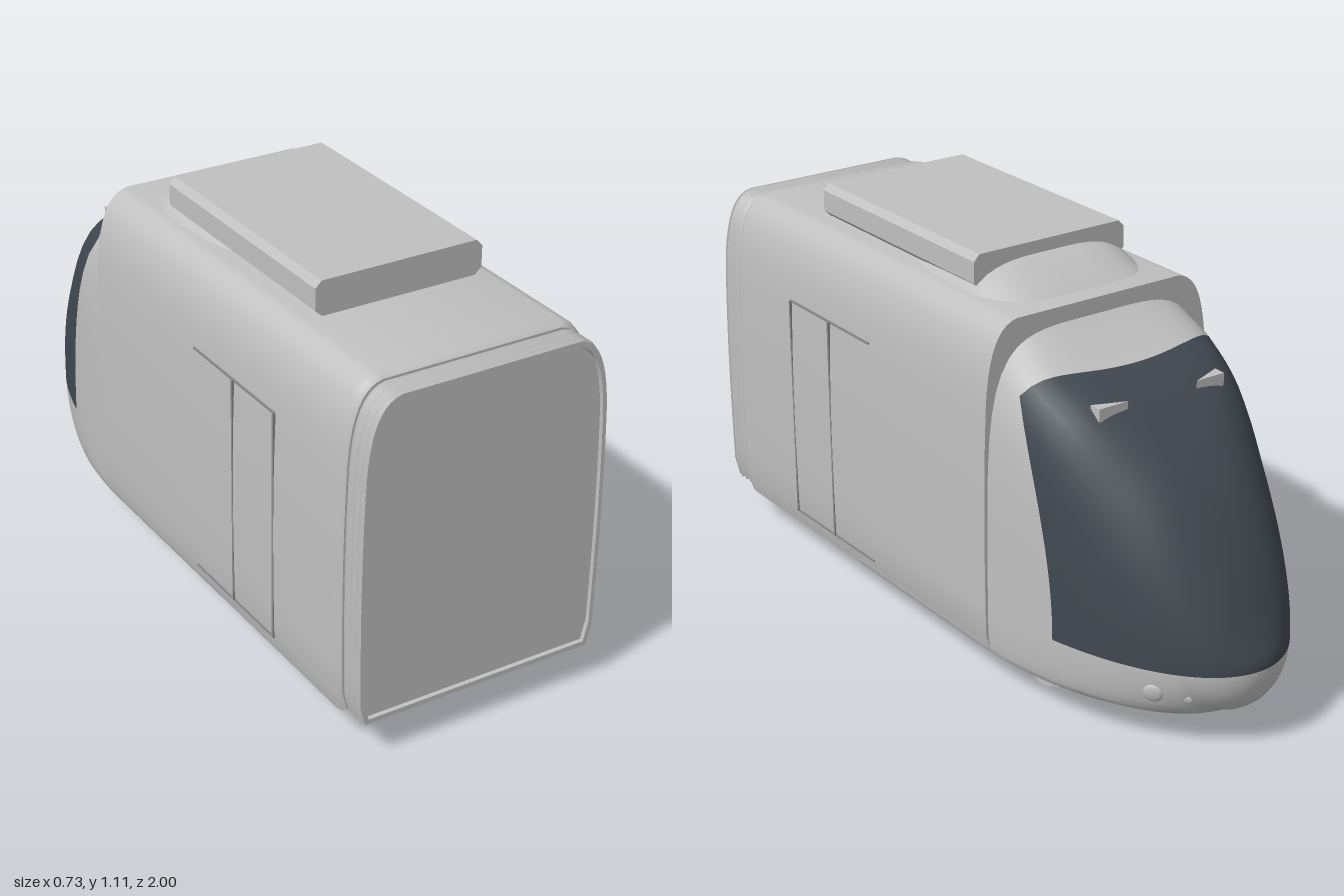
import * as THREE from 'three';
import { toCreasedNormals } from 'three/addons/utils/BufferGeometryUtils.js';

const shell = new THREE.MeshStandardMaterial({ color: 0xc0c0c0 });
shell.name = 'silver grey shell';
const glass = new THREE.MeshStandardMaterial({ color: 0x404850 });
glass.name = 'dark windscreen';
const seam = new THREE.MeshStandardMaterial({ color: 0x8c8c8c });
seam.name = 'seam grey';

// Smooth interpolation through [key, value] pairs
function smooth(table, k) {
  let i = 0;
  while (i < table.length - 2 && k > table[i + 1][0]) i++;
  const slope = (a, b) => (b[1] - a[1]) / (b[0] - a[0]);
  const at = j => table[Math.min(Math.max(j, 0), table.length - 1)];
  const p = at(i), q = at(i + 1), h = q[0] - p[0], u = (k - p[0]) / h;
  const m0 = i === 0 ? slope(p, q) : slope(at(i - 1), q);
  const m1 = i + 2 >= table.length ? slope(p, q) : slope(p, at(i + 2));
  const u2 = u * u, u3 = u2 * u;
  return (2 * u3 - 3 * u2 + 1) * p[1] + (u3 - 2 * u2 + u) * h * m0
    + (3 * u2 - 2 * u3) * q[1] + (u3 - u2) * h * m1;
}

// Nose roof line keyed by sqrt(z + 1), and squareness of the section keyed by z
const roofLine = [[0, 0.23], [0.173, 0.31], [0.316, 0.46], [0.48, 0.66], [0.648, 0.825], [0.75, 0.9],
  [0.8185, 0.965], [0.854, 1.01], [0.894, 1.045], [0.938, 1.075], [1.05, 1.06], [1.14, 1.0]];
const squareness = [[-1, 2.2], [-0.7, 3.2], [-0.45, 6], [-0.33, 5], [-0.2, 4], [0.3, 4]];
const BELT = 0.23;
const arc = s => Math.sqrt(Math.max(0, 1 - Math.max(0, s) ** 2));

function noseUpper(z, a) {
  const top = smooth(roofLine, Math.sqrt(Math.max(0, z + 1))), n = smooth(squareness, z);
  const c = Math.cos(a), s = Math.sin(a);
  const r = (Math.abs(c) ** n + Math.abs(s) ** n) ** (-1 / n);
  return [0.355 * arc((-0.28 - z) / 0.72) * r * c, BELT + (top - BELT) * r * s, z];
}

function noseLower(z, a, side) {
  const w = 0.355 * arc((-0.28 - z) / 0.72), wb = 0.345 * arc((-0.28 - z) / 0.63);
  const depth = 0.14 * arc((-0.905 - z) / 0.095);
  return [side * (wb + (w - wb) * Math.cos(a)), BELT - depth * Math.sin(a), z];
}

function buildGeometry(pos, light, dark = []) {
  const g = new THREE.BufferGeometry();
  g.setAttribute('position', new THREE.Float32BufferAttribute(pos, 3));
  g.setIndex([...light, ...dark]);
  if (dark.length) {
    g.addGroup(0, light.length, 0);
    g.addGroup(light.length, dark.length, 1);
  }
  return toCreasedNormals(g, 0.6);
}

// Nose: columns run forward along z, each changing colour at the windscreen edge
function noseGeometry() {
  const UP = 48, LOW = 6, NA = 24, NB = 32, cols = [];
  for (let k = 0; k <= UP; k++) {
    const a = k * Math.PI / UP, t = Math.abs(Math.tan(a));
    const edge = t < 1 ? -0.57 + 0.16 * t * t : -0.48 + 0.07 / (t * t);
    cols.push({ edge, at: z => noseUpper(z, a) });
  }
  const low = (k, side) => cols.push({ edge: -0.57, at: z => noseLower(z, k / LOW * Math.PI / 2, side) });
  for (let k = 1; k <= LOW; k++) low(k, -1);
  for (let k = LOW; k >= 1; k--) low(k, 1);
  const pos = [], light = [], dark = [], n = cols.length;
  for (let i = 0; i <= NA + NB; i++) {
    for (const { edge, at } of cols) {
      const z = i <= NA ? 0.3 + (edge - 0.3) * i / NA : -1 + (edge + 1) * (1 - (i - NA) / NB) ** 2;
      pos.push(...at(z));
    }
  }
  for (let i = 0; i < NA + NB; i++) {
    for (let j = 0; j < n; j++) {
      const a = i * n + j, b = i * n + (j + 1) % n;
      (i >= NA && j < UP ? dark : light).push(a, a + n, b, b, a + n, b + n);
    }
  }
  return buildGeometry(pos, light, dark);
}

// Carriage cross-section, counter-clockwise seen from +z
function carriageSection() {
  const s = new THREE.Shape();
  s.moveTo(-0.345, 0.09);
  s.lineTo(0.345, 0.09);
  s.lineTo(0.36, 0.15);
  s.bezierCurveTo(0.365, 0.4, 0.365, 0.6, 0.356, 0.8);
  s.bezierCurveTo(0.347, 0.93, 0.32, 1.0, 0.26, 1.01);
  s.lineTo(-0.26, 1.01);
  s.bezierCurveTo(-0.32, 1.0, -0.347, 0.93, -0.356, 0.8);
  s.bezierCurveTo(-0.365, 0.6, -0.365, 0.4, -0.36, 0.15);
  const pts = s.getPoints(10);
  if (pts[0].distanceTo(pts[pts.length - 1]) < 1e-6) pts.pop();
  return pts;
}

// Loft of the section through [z, scale] rings, closed at both ends
function loft(rings) {
  const sec = carriageSection(), n = sec.length, pos = [], idx = [], MID = 0.55;
  for (const [z, s] of rings) for (const p of sec) pos.push(p.x * s, MID + (p.y - MID) * s, z);
  const first = rings.length * n, last = first + 1, end = (rings.length - 1) * n;
  pos.push(0, MID, rings[0][0], 0, MID, rings[rings.length - 1][0]);
  for (let j = 0; j < n; j++) {
    const k = (j + 1) % n;
    for (let i = 0; i < end; i += n) idx.push(i + j, i + k, i + n + j, i + k, i + n + k, i + n + j);
    idx.push(first, k, j, last, end + j, end + k);
  }
  return buildGeometry(pos, idx);
}

export function createModel() {
  const model = new THREE.Group();
  model.name = 'trainCar';
  const add = (name, geometry, material, x = 0, y = 0, z = 0) => {
    const m = new THREE.Mesh(geometry, material);
    m.name = name;
    m.position.set(x, y, z);
    model.add(m);
    return m;
  };

  add('carriageBody', loft([[-0.33, 1], [0.89, 1], [0.91, 0.992], [0.92, 0.975]]), shell);
  add('noseAndWindscreen', noseGeometry(), [shell, glass]);

  // Folded gangway with a slightly recessed end panel
  const folds = [[0.915, 0.955]];
  for (let i = 0; i < 3; i++) folds.push([0.935 + i * 0.025, 0.978], [0.947 + i * 0.025, 0.957]);
  folds.push([1, 0.97], [1, 0.94], [0.99, 0.935]);
  add('gangwayBellows', loft(folds), shell);

  // Roof unit with chamfered long edges
  const r = new THREE.Shape();
  [[-0.222, 1.015], [0.222, 1.015], [0.242, 1.033], [0.242, 1.092], [0.225, 1.11],
    [-0.225, 1.11], [-0.242, 1.092], [-0.242, 1.033]].forEach(([x, y], i) => i ? r.lineTo(x, y) : r.moveTo(x, y));
  add('roofUnit', new THREE.ExtrudeGeometry(r, { depth: 0.725, bevelEnabled: false }), shell, 0, 0, -0.12);

  for (const side of [1, -1]) {
    const tag = side > 0 ? 'left' : 'right';

    // Door seams
    for (const z of [0.61, 0.41]) {
      add(tag + 'DoorSeam', new THREE.BoxGeometry(0.009, 0.65, 0.006), seam, side * 0.3595, 0.465, z);
    }
    for (const y of [0.14, 0.79]) {
      add(tag + 'DoorEdge', new THREE.BoxGeometry(0.009, 0.006, 0.4), seam, side * 0.356, y, 0.41);
    }

    // Head lamps sitting flush on the lower nose
    const normal = new THREE.Vector3(side * 0.82, -0.2, -0.54).normalize();
    for (const [z, y, radius] of [[-0.84, 0.165, 0.026], [-0.905, 0.155, 0.011]]) {
      const p = noseLower(z, Math.asin((BELT - y) / 0.14), side);
      const lamp = add(tag + 'Lamp', new THREE.SphereGeometry(radius, 20, 12), shell, ...p);
      lamp.scale.y = 0.35;
      lamp.quaternion.setFromUnitVectors(new THREE.Vector3(0, 1, 0), normal);
    }

    // Small triangular fin above the windscreen
    const f = new THREE.Shape();
    f.moveTo(side * 0.2, 0.59);
    f.lineTo(side * 0.11, 0.59);
    f.lineTo(side * 0.2, 0.555);
    const fin = add(tag + 'WindscreenFin',
      new THREE.ExtrudeGeometry(f, { depth: 0.035, bevelEnabled: false }), shell, 0, 0.838, 0);
    fin.rotation.x = Math.PI / 2;
    fin.geometry.scale(1, -1, 1);
    // Restore outward winding after the flip
    const uv = fin.geometry.attributes.position;
    for (let i = 0; i < uv.count; i += 3) {
      const a = new THREE.Vector3().fromBufferAttribute(uv, i + 1);
      const b = new THREE.Vector3().fromBufferAttribute(uv, i + 2);
      uv.setXYZ(i + 1, b.x, b.y, b.z);
      uv.setXYZ(i + 2, a.x, a.y, a.z);
    }
    fin.geometry.computeVertexNormals();
  }

  // Wheelsets: tread outside, flange inside
  for (const z of [0.125, -0.425]) {
    const axle = add('axle', new THREE.CylinderGeometry(0.01, 0.01, 0.55, 12), shell, 0, 0.088, z);
    axle.rotation.z = Math.PI / 2;
    for (const side of [1, -1]) {
      for (const [name, radius, width, x] of [['wheelTread', 0.085, 0.036, 0.233], ['wheelFlange', 0.095, 0.012, 0.22]]) {
        const w = add(name, new THREE.CylinderGeometry(radius, radius, width, 32), shell, side * x, 0.095, z);
        w.rotation.z = Math.PI / 2;
      }
    }
  }
  return model;
}
